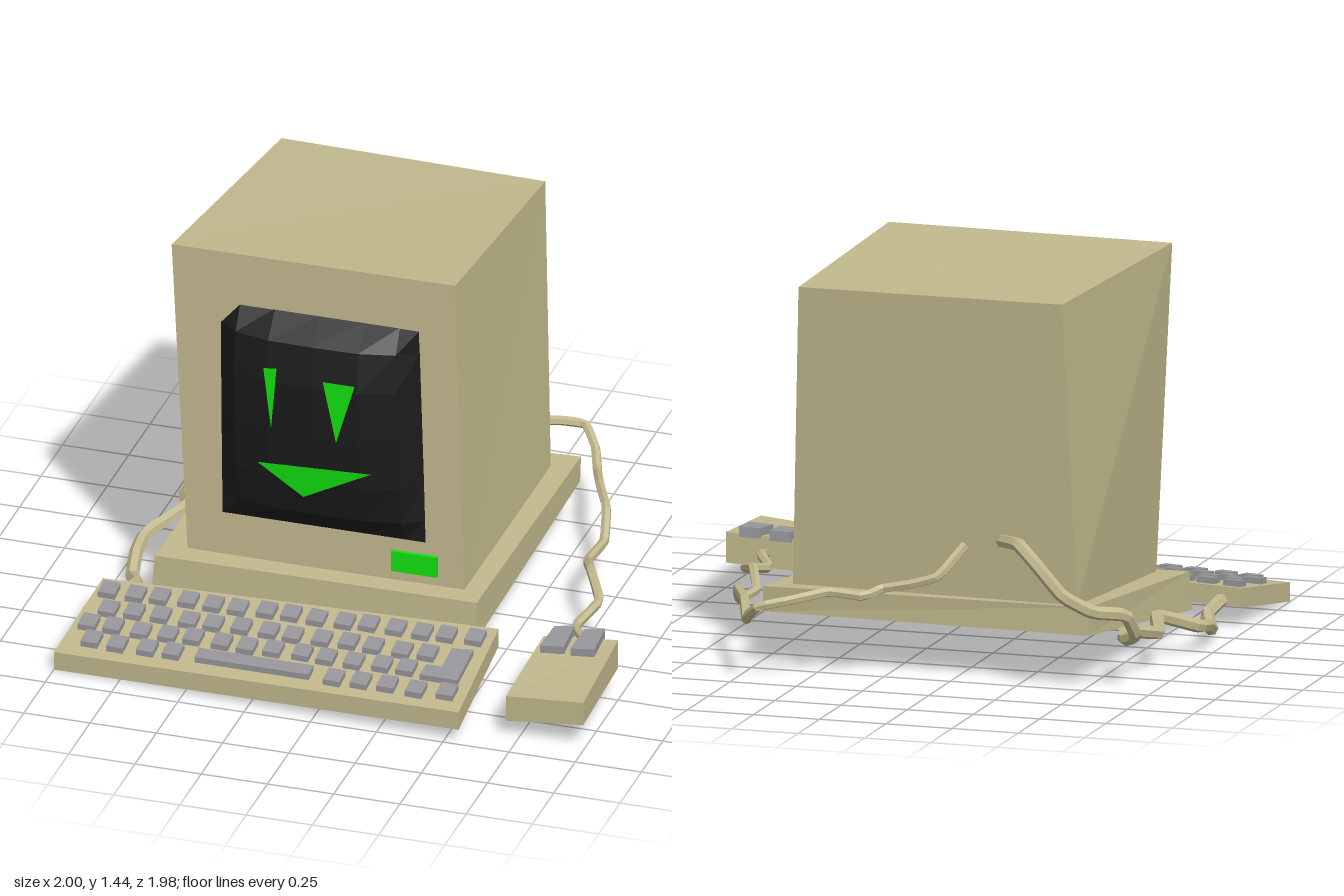
import * as THREE from 'three';

const mat = (color, side = THREE.FrontSide) => new THREE.MeshStandardMaterial({ color, flatShading: true, side });
const beige = mat(0xc0b78c);
const grey = mat(0x96969b);
const black = mat(0x1a1a1a, THREE.DoubleSide);
const green = mat(0x12e012, THREE.DoubleSide);

function add(parent, name, geometry, material) {
  const mesh = new THREE.Mesh(geometry, material);
  mesh.name = name;
  parent.add(mesh);
  return mesh;
}

// Skewed box: bottom and top each list back-left, back-right, front-left, front-right as seen from the front.
function skewBox(bottom, top) {
  const g = new THREE.BoxGeometry(1, 1, 1);
  const p = g.attributes.position;
  for (let i = 0; i < p.count; i++) {
    const corner = (p.getX(i) > 0 ? 1 : 0) + (p.getZ(i) > 0 ? 2 : 0);
    p.setXYZ(i, ...(p.getY(i) > 0 ? top : bottom)[corner]);
  }
  g.computeVertexNormals();
  return g;
}

// Flat outline in x and z, raised from a sloping surface.
function raised(outline, surface, height) {
  const shape = new THREE.Shape(outline.map(([x, z]) => new THREE.Vector2(x, -z)));
  const g = new THREE.ExtrudeGeometry(shape, { depth: 1, bevelEnabled: false });
  const p = g.attributes.position;
  for (let i = 0; i < p.count; i++) {
    const x = p.getX(i), z = -p.getY(i);
    p.setXYZ(i, x, surface(x, z) + (p.getZ(i) > 0.5 ? height : -0.005), z);
  }
  g.computeVertexNormals();
  return g;
}

const rect = (x, z, w, d, skew = 0) => [
  [x - w / 2, z + d / 2 - skew], [x + w / 2, z + d / 2 + skew],
  [x + w / 2, z - d / 2 + skew], [x - w / 2, z - d / 2 - skew],
];

function cable(points, radius) {
  const curve = new THREE.CatmullRomCurve3(points.map((p) => new THREE.Vector3(...p)), false, 'catmullrom', 0.15);
  return new THREE.TubeGeometry(curve, points.length * 4, radius, 6);
}

function triangle(points) {
  const g = new THREE.BufferGeometry();
  g.setAttribute('position', new THREE.Float32BufferAttribute(points.flat(), 3));
  g.computeVertexNormals();
  return g;
}

function buildMonitor() {
  const monitor = new THREE.Group();
  monitor.name = 'monitor';
  add(monitor, 'casing', skewBox(
    [[-0.69, 0.285, -0.63], [0.385, 0.29, -0.62], [-0.7, 0.225, 0.265], [0.345, 0.22, 0.265]],
    [[-0.66, 1.405, -0.71], [0.34, 1.4, -0.695], [-0.765, 1.44, 0.25], [0.305, 1.445, 0.25]]), beige);
  add(monitor, 'base', skewBox(
    [[-0.74, 0.18, -0.65], [0.47, 0.2, -0.7], [-0.81, 0.075, 0.345], [0.415, 0.07, 0.345]],
    [[-0.74, 0.285, -0.65], [0.47, 0.295, -0.71], [-0.8, 0.215, 0.34], [0.415, 0.22, 0.34]]), beige);

  // Bulging screen: a grid drawn out to the screen corners, steep near its rim
  const steps = [-1, -0.8, -0.45, 0, 0.45, 0.8, 1];
  const screen = new THREE.PlaneGeometry(1, 1, 6, 6);
  const p = screen.attributes.position;
  for (let i = 0; i < p.count; i++) {
    const u = steps[i % 7], v = -steps[Math.floor(i / 7)];
    const x = -0.195 + u * (0.38 - 0.003 * v) - 0.01 * v;
    const bulge = (1 - Math.abs(u) ** 3.5) * (1 - Math.abs(v) ** (v < 0 ? 3 : 5));
    p.setXYZ(i, x, 0.817 + 0.425 * v, 0.257 - 0.007 * v + 0.122 * bulge ** 0.75);
  }
  screen.computeVertexNormals();
  add(monitor, 'screen', screen, black);

  // Face on the screen
  const face = new THREE.Group();
  face.name = 'face';
  monitor.add(face);
  add(face, 'eyeRight', triangle([[-0.375, 1.07, 0.387], [-0.345, 0.83, 0.39], [-0.325, 1.075, 0.387]]), green);
  add(face, 'eyeLeft', triangle([[-0.15, 1.05, 0.389], [-0.1, 0.81, 0.389], [-0.03, 1.05, 0.389]]), green);
  add(face, 'mouth', triangle([[-0.4, 0.68, 0.378], [-0.23, 0.56, 0.368], [0.03, 0.7, 0.383]]), green);

  // Power light
  const light = add(monitor, 'powerLight', new THREE.BoxGeometry(0.173, 0.08, 0.03), green);
  light.position.set(0.158, 0.303, 0.263);
  return monitor;
}

function buildKeyboard() {
  const keyboard = new THREE.Group();
  keyboard.name = 'keyboard';
  const deck = (x, z) => 0.25 + 0.041 * x - 0.152 * z;
  const plan = [[-0.965, 0.435], [0.54, 0.47], [-1, 0.9], [0.555, 0.985]];
  add(keyboard, 'keyboardCase', skewBox(
    plan.map(([x, z]) => [x, deck(x, z) - 0.071, z]),
    plan.map(([x, z]) => [x, deck(x, z), z])), beige);

  // Key rows: first x, first z, last x, last z, number of keys
  const rows = [
    [-0.915, 0.515, 0.475, 0.555, 15], [-0.885, 0.622, 0.34, 0.675, 13],
    [-0.93, 0.72, 0.295, 0.775, 13], [-0.885, 0.815, -0.57, 0.835, 4],
    [0.055, 0.875, 0.25, 0.885, 3], [0.37, 0.895, 0.475, 0.89, 2],
  ];
  rows.forEach(([x0, z0, x1, z1, n], r) => {
    for (let i = 0; i < n; i++) {
      const t = i / (n - 1);
      // Slight uneven placement
      const x = x0 + (x1 - x0) * t + 0.005 * Math.sin(i * 2.3 + r);
      const z = z0 + (z1 - z0) * t + 0.004 * Math.sin(i * 1.7 + r * 2);
      add(keyboard, 'key', raised(rect(x, z, 0.065, 0.073, 0.003), deck, 0.022), grey);
    }
  });
  add(keyboard, 'spaceBar', raised(rect(-0.26, 0.852, 0.44, 0.058, 0.014), deck, 0.022), grey);
  add(keyboard, 'enterKey', raised(
    [[0.42, 0.645], [0.5, 0.64], [0.5, 0.83], [0.355, 0.82], [0.36, 0.755], [0.42, 0.76]], deck, 0.022), grey);
  return keyboard;
}

function buildMouse() {
  const mouse = new THREE.Group();
  mouse.name = 'mouse';
  add(mouse, 'mouseBody', skewBox(
    [[0.71, 0.085, 0.47], [0.985, 0.105, 0.45], [0.7, 0.06, 0.88], [0.995, 0.095, 0.89]],
    [[0.71, 0.2, 0.47], [0.985, 0.217, 0.45], [0.7, 0.16, 0.88], [0.995, 0.185, 0.89]]), beige);
  const back = (x, z) => 0.205 + 0.06 * (x - 0.85) - 0.09 * (z - 0.46);
  for (const x of [0.777, 0.892]) {
    add(mouse, 'mouseButton', raised(
      [[x - 0.045, 0.58], [x + 0.043, 0.575], [x + 0.037, 0.43], [x - 0.035, 0.445]], back, 0.033), grey);
  }
  return mouse;
}

export function createModel() {
  const model = new THREE.Group();
  model.name = 'computer';
  model.add(buildMonitor(), buildKeyboard(), buildMouse());

  // Cables from the back of the monitor
  add(model, 'keyboardCable', cable([
    [-0.89, 0.1, 0.46], [-0.88, 0.07, 0.3], [-0.93, 0.04, 0.2], [-0.95, 0.08, 0.09], [-0.95, 0.1, -0.02],
    [-0.84, 0.16, -0.16], [-0.89, 0.13, -0.3], [-0.84, 0.18, -0.52], [-0.85, 0.16, -0.58], [-0.915, 0.19, -0.64],
    [-0.9, 0.28, -0.71], [-0.8, 0.3, -0.79], [-0.7, 0.36, -0.83], [-0.6, 0.47, -0.83], [-0.52, 0.53, -0.79],
    [-0.43, 0.52, -0.7], [-0.41, 0.5, -0.62]], 0.025), beige);
  add(model, 'mouseCable', cable([
    [-0.27, 0.48, -0.64], [-0.2, 0.38, -0.74], [-0.1, 0.35, -0.76], [0, 0.33, -0.77], [0.05, 0.31, -0.83],
    [0.18, 0.32, -0.84], [0.3, 0.3, -0.94], [0.4, 0.28, -0.98], [0.46, 0.23, -0.91], [0.5, 0.19, -0.81],
    [0.56, 0.23, -0.65], [0.64, 0.23, -0.48], [0.67, 0.16, -0.36], [0.66, 0.16, -0.2], [0.72, 0.21, -0.05],
    [0.8, 0.17, 0.1], [0.76, 0.14, 0.26], [0.83, 0.16, 0.38], [0.84, 0.14, 0.48]], 0.018), beige);
  return model;
}
